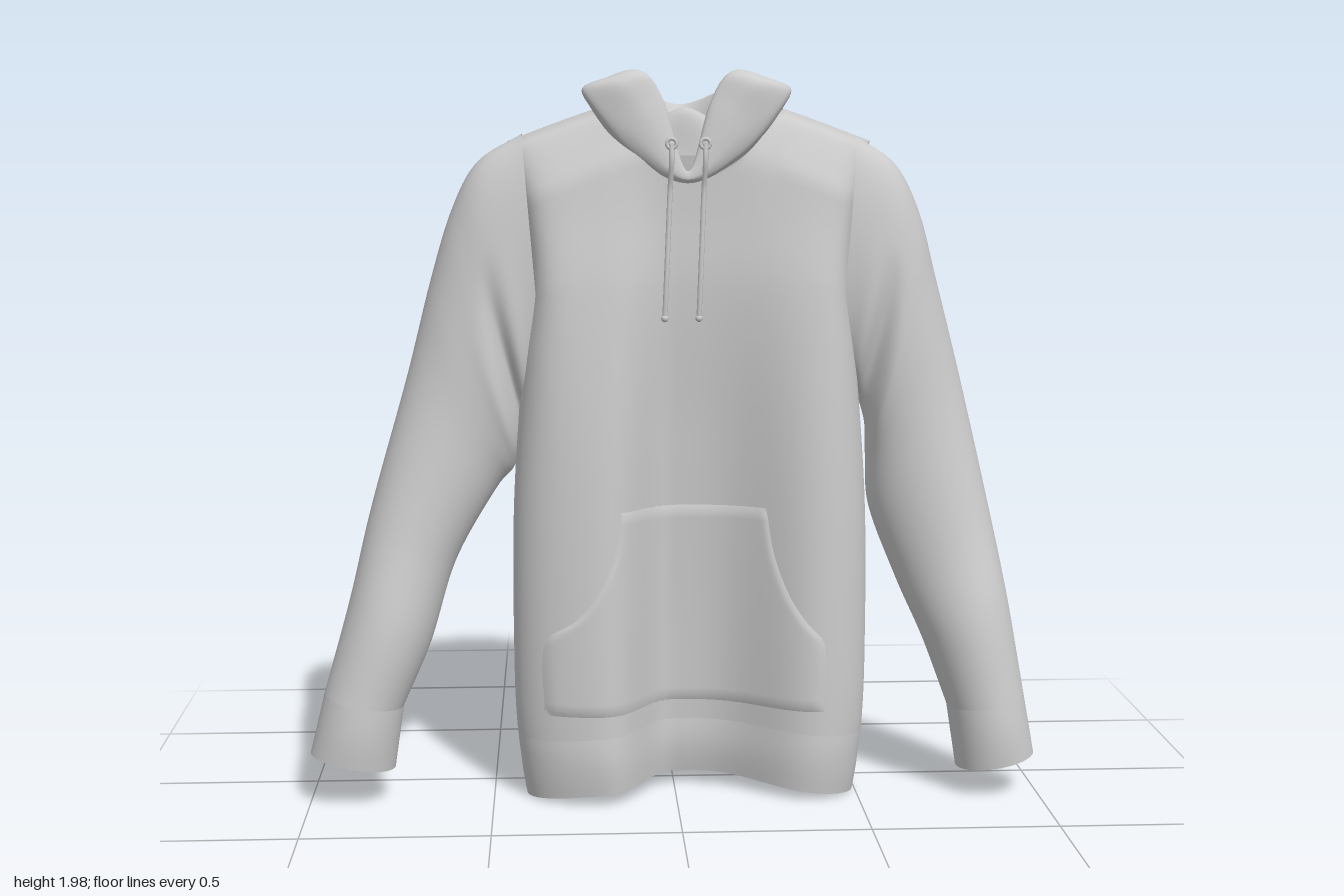
import * as THREE from 'three';
import { mergeVertices } from 'three/addons/utils/BufferGeometryUtils.js';

const V = (x, y, z) => new THREE.Vector3(x, y, z);
const cloth = new THREE.MeshStandardMaterial({ color: 0xcccccc, side: THREE.DoubleSide });
const bell = (x, w, n = 2) => Math.exp(-(Math.abs(x / w) ** n));

// smooth value through [key, value] pairs
function curve(pts, k) {
  const n = pts.length - 1;
  if (k <= pts[0][0]) return pts[0][1];
  if (k >= pts[n][0]) return pts[n][1];
  let i = 0;
  while (k > pts[i + 1][0]) i++;
  const slope = (j) => {
    const a = pts[Math.max(0, j - 1)], b = pts[Math.min(n, j + 1)];
    return (b[1] - a[1]) / (b[0] - a[0]);
  };
  const h = pts[i + 1][0] - pts[i][0], t = (k - pts[i][0]) / h;
  return pts[i][1] * (2 * t ** 3 - 3 * t * t + 1) + pts[i + 1][1] * (3 * t * t - 2 * t ** 3)
    + h * (slope(i) * (t ** 3 - 2 * t * t + t) + slope(i + 1) * (t ** 3 - t * t));
}

// surface from a rule f(u, v) -> point, welded where it closes on itself
function surface(name, nu, nv, f) {
  const pos = [], idx = [];
  for (let j = 0; j <= nv; j++)
    for (let i = 0; i <= nu; i++) pos.push(...f(i / nu, j / nv).toArray());
  for (let j = 0; j < nv; j++)
    for (let i = 0; i < nu; i++) {
      const a = j * (nu + 1) + i, b = a + nu + 1;
      idx.push(a, a + 1, b, a + 1, b + 1, b);
    }
  let g = new THREE.BufferGeometry();
  g.setAttribute('position', new THREE.Float32BufferAttribute(pos, 3));
  g.setIndex(idx);
  g = mergeVertices(g, 1e-5);
  g.computeVertexNormals();
  const mesh = new THREE.Mesh(g, cloth);
  mesh.name = name;
  return mesh;
}

// torso shape by height: half width, side depth, front and back depth, folds
const CX = 0.042;
const halfWidth = [[0, .452], [.1, .462], [.19, .478], [.4, .485], [.8, .482], [1.2, .455], [1.4, .435], [1.6, .45], [1.79, .49]];
const middle = [[0, .12], [.8, .1], [1.4, .06], [1.8, .06]];
const frontZ = [[0, .275], [.19, .287], [.6, .28], [1, .26], [1.4, .22], [1.6, .185], [1.8, .155]];
const backZ = [[0, -.04], [.4, -.05], [.8, -.06], [1.2, -.07], [1.6, -.05], [1.8, -.02]];
const grooveDepth = [[0, .2], [.5, .175], [1, .125], [1.4, .06], [1.75, .01]];
const backRidge = [[0, .09], [.4, .06], [.8, .03], [1.2, .01], [1.7, 0]];
const backGroove = [[0, .04], [.8, .035], [1.4, .025], [1.75, 0]];
const sideSquareness = [[0, 4], [.8, 5], [1.2, 8], [1.4, 12]];
const shoulderY = (s) => 1.945 - .155 * Math.abs(s) ** 1.25;

function torsoZ(s, y, isFront) {
  const m = curve(middle, y);
  const close = Math.sqrt(Math.min(1, Math.max(0, (shoulderY(s) - y) / .16)));
  const e = Math.sqrt(Math.max(0, 1 - Math.abs(s) ** curve(sideSquareness, y))) * close;
  if (isFront) {
    const groove = s < -.08 ? bell(s + .08, .25, 2.5) : bell(s + .08, .58, 3);
    return m + (curve(frontZ, y) - m - curve(grooveDepth, y) * groove) * e;
  }
  const ridge = curve(backRidge, y) * bell(s + .14, .24, 3);
  const grooves = curve(backGroove, y) * (bell(s - .18, .13) + bell(s + .48, .13));
  return m + (curve(backZ, y) - m - ridge + grooves) * e;
}
const frontAt = (x, y) => torsoZ((x - CX) / curve(halfWidth, y), y, true);

function torsoPart(name, low, high, nv, puff) {
  return surface(name, 160, nv, (u, v) => {
    const a = u * Math.PI * 2, s = Math.cos(a), isFront = Math.sin(a) >= 0;
    const y = THREE.MathUtils.lerp(low(s, isFront), high(s, isFront), v);
    const p = puff * Math.sin(Math.PI * v);
    return V(CX + s * (curve(halfWidth, y) + p), y, torsoZ(s, y, isFront) + p * Math.sin(a));
  });
}

// sleeve: rings spanned by an outer point, an inner point and a depth
const depths = [[.055, .112], [.05, .122], [.042, .13], [.037, .136], [.04, .137], [.07, .14], [.11, .145], [.15, .122]];
function addSleeve(group, side, outer, inner, cuffOuter, cuffInner) {
  const path = (pts) => new THREE.CatmullRomCurve3(pts.map(([x, y]) => V(x, y, 0)), false, 'catmullrom');
  const o = path(outer), i = path(inner), d = path(depths);
  const ring = (O, I, zc, r, a, power = 1) => {
    const s = Math.sin(a);
    return O.clone().lerp(I, .5 - .5 * Math.cos(a)).setZ(zc + r * Math.sign(s) * Math.abs(s) ** power);
  };
  group.add(surface(side + 'Sleeve', 64, 64, (u, v) => {
    const a = u * Math.PI * 2, D = d.getPoint(v);
    // pinched folds under the arm
    const under = Math.max(0, .35 - Math.cos(a));
    const r = D.y * (1 + under * (.1 * bell(v - .12, .05) - .3 * bell(v - .22, .05) + .1 * bell(v - .35, .06)));
    return ring(o.getPoint(v), i.getPoint(v), D.x, r, a, .65 + .35 * Math.min(1, v * 2));
  }));
  const O0 = V(...outer[7], 0), I0 = V(...inner[7], 0), O1 = V(...cuffOuter, 0), I1 = V(...cuffInner, 0);
  group.add(surface(side + 'Cuff', 64, 8, (u, v) => {
    const r = THREE.MathUtils.lerp(.122, .108, v) + .005 * Math.sin(Math.PI * v);
    return ring(O0.clone().lerp(O1, v), I0.clone().lerp(I1, v), .15 + .012 * v, r, u * Math.PI * 2);
  }));
}

// hood profiles from the throat round to the back: outside base, over the rim, down inside
const hoodKeys = [
  [[0, 1.68, .165], [0, 1.685, .17], [0, 1.69, .175], [0, 1.7, .175], [0, 1.71, .17], [0, 1.71, .16], [0, 1.7, .15], [0, 1.69, .14]],
  [[.12, 1.73, .14], [.14, 1.76, .155], [.15, 1.82, .165], [.115, 1.87, .165], [.07, 1.9, .145], [.05, 1.85, .125], [.06, 1.8, .115], [.08, 1.75, .11]],
  [[.21, 1.81, .11], [.25, 1.87, .125], [.275, 1.925, .125], [.2, 1.955, .145], [.12, 1.975, .125], [.085, 1.93, .1], [.09, 1.87, .09], [.11, 1.8, .08]],
  [[.21, 1.86, .05], [.235, 1.85, .02], [.25, 1.89, 0], [.22, 1.94, 0], [.16, 1.965, .01], [.11, 1.9, .02], [.11, 1.84, .04], [.12, 1.78, .05]],
  [[.15, 1.82, -.02], [.155, 1.64, -.075], [.205, 1.72, -.14], [.2, 1.86, -.17], [.15, 1.95, -.12], [.1, 1.86, -.07], [.09, 1.84, -.01], [.12, 1.76, .03]],
  [[0, 1.74, -.04], [0, 1.545, -.09], [0, 1.61, -.23], [0, 1.78, -.288], [0, 1.89, -.23], [0, 1.79, -.13], [0, 1.88, 0], [0, 1.75, .02]],
];
function hood() {
  const loop = [...hoodKeys.map((k) => [k, 1]), ...hoodKeys.slice(1, 5).reverse().map((k) => [k, -1])];
  const rails = hoodKeys[0].map((_, c) => new THREE.CatmullRomCurve3(
    loop.map(([k, m]) => V(CX - .01 + m * k[c][0], k[c][1], k[c][2])), true, 'catmullrom'));
  const slices = new Map();
  return surface('hood', 100, 48, (u, v) => {
    if (!slices.has(u)) slices.set(u, new THREE.CatmullRomCurve3(rails.map((r) => r.getPoint(u % 1))));
    return slices.get(u).getPoint(v);
  });
}

// front pouch: a thin patch following the torso front
const pocketLeft = [[.25, .4], [.44, .4], [.5, .35], [.57, .305], [.68, .265], [.8, .245]];
const pocketRight = [[.25, -.36], [.46, -.355], [.51, -.28], [.57, -.225], [.68, -.17], [.81, -.15]];
function pocket() {
  return surface('frontPocket', 48, 32, (u, v) => {
    const y = .25 + .555 * v;
    const x = THREE.MathUtils.lerp(curve(pocketRight, y), curve(pocketLeft, y), u);
    const edge = Math.min(1, 40 * Math.min(u, 1 - u, v, 1 - v));
    return V(x, y, frontAt(x, y) + .007 * edge);
  });
}

// drawstring with eyelet and knotted end
function addDrawstring(group, side, xTop, xEnd) {
  const pts = [V(xTop, 1.785, .175)];
  for (let k = 0; k <= 6; k++) {
    const y = 1.74 - .42 * k / 6, x = THREE.MathUtils.lerp(xTop, xEnd, k / 6);
    pts.push(V(x, y, Math.max(frontAt(x, y) + .01, .18 - .03 * k)));
  }
  const add = (name, g, p) => {
    const m = new THREE.Mesh(g, cloth);
    m.name = side + name;
    if (p) m.position.copy(p);
    group.add(m);
  };
  add('Drawstring', new THREE.TubeGeometry(new THREE.CatmullRomCurve3(pts), 40, .007, 8));
  add('Eyelet', new THREE.TorusGeometry(.013, .005, 8, 16), pts[0]);
  add('StringEnd', new THREE.SphereGeometry(.01, 12, 8), pts[7]);
}

export function createModel() {
  const group = new THREE.Group();
  group.name = 'hoodedSweatshirt';

  // body with a separate waistband
  const hemLow = (s, f) => (f ? .04 : .06) * (1 - s * s);
  const hemHigh = (s, f) => .17 + (f ? .025 : .04) * (1 - s * s);
  const neck = (s, f) => {
    if (Math.abs(s) >= .5) return shoulderY(s);
    const low = f ? 1.685 : 1.82;
    return low + (shoulderY(.5) - low) * 4 * s * s;
  };
  group.add(torsoPart('torso', hemHigh, neck, 80, 0));
  group.add(torsoPart('waistband', hemLow, hemHigh, 10, .006));

  addSleeve(group, 'left',
    [[.49, 1.805], [.6, 1.73], [.67, 1.6], [.72, 1.42], [.79, 1.15], [.87, .8], [.92, .55], [.965, .28]],
    [[.44, 1.2], [.49, 1.13], [.53, 1.02], [.535, .92], [.545, .78], [.62, .58], [.69, .42], [.755, .24]],
    [.995, .11], [.78, .07]);
  addSleeve(group, 'right',
    [[-.41, 1.81], [-.53, 1.735], [-.6, 1.61], [-.66, 1.42], [-.73, 1.15], [-.83, .8], [-.89, .55], [-.96, .3]],
    [[-.36, 1.2], [-.4, 1.08], [-.42, .97], [-.44, .9], [-.49, .84], [-.6, .65], [-.67, .43], [-.745, .26]],
    [-1, .135], [-.77, .09]);

  group.add(hood(), pocket());
  addDrawstring(group, 'right', -.012, -.03);
  addDrawstring(group, 'left', .078, .062);
  return group;
}
